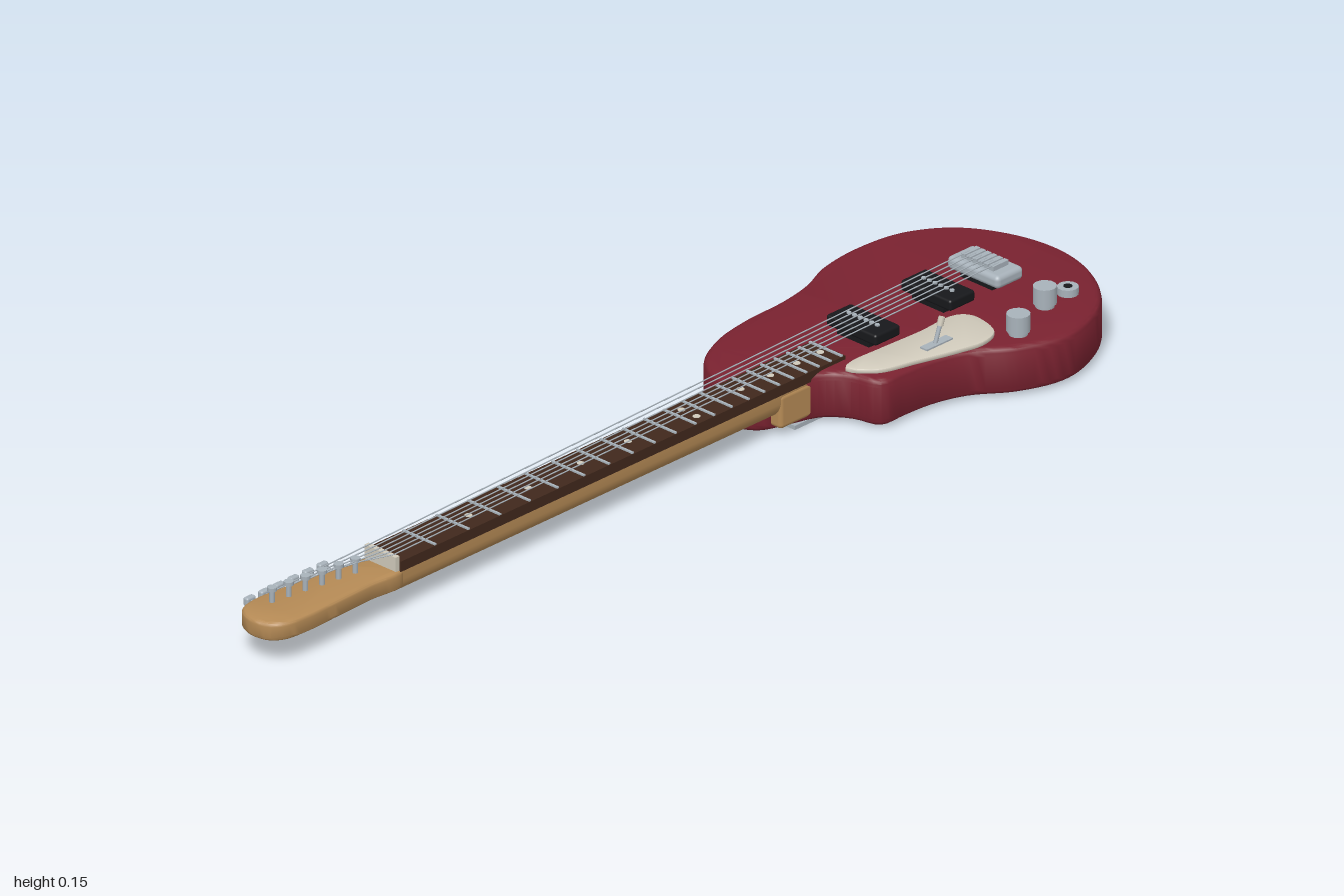
import * as THREE from 'three';
import { toCreasedNormals } from 'three/addons/utils/BufferGeometryUtils.js';
import { RoundedBoxGeometry } from 'three/addons/geometries/RoundedBoxGeometry.js';

const mat = (name, color) => Object.assign(new THREE.MeshStandardMaterial({ color }), { name });
const red = mat('red paint', 0x7a2230);
const maple = mat('maple', 0xb58a55);
const rosewood = mat('rosewood', 0x40281c);
const steel = mat('steel', 0xa8b2ba);
const black = mat('black plastic', 0x17181b);
const cream = mat('cream plastic', 0xd0cabb);

export function createModel() {
  const model = new THREE.Group();
  model.name = 'electricGuitar';

  const add = (name, geometry, material, x = 0, y = 0, z = 0) => {
    const mesh = new THREE.Mesh(geometry, material);
    mesh.name = name;
    mesh.position.set(x, y, z);
    model.add(mesh);
    return mesh;
  };
  // Box given by its limits on each axis
  const box = (name, material, x0, x1, y0, y1, z0, z1, r = 0) => {
    const size = [x1 - x0, y1 - y0, z1 - z0];
    const g = r ? new RoundedBoxGeometry(...size, 3, r) : new THREE.BoxGeometry(...size);
    return add(name, g, material, (x0 + x1) / 2, (y0 + y1) / 2, (z0 + z1) / 2);
  };
  // Upright cylinder standing on y0
  const post = (name, material, x, z, y0, y1, r, sides = 12) =>
    add(name, new THREE.CylinderGeometry(r, r, y1 - y0, sides), material, x, (y0 + y1) / 2, z);
  // Thin rod between two points
  const rod = (name, material, a, b, r, sides = 6) => {
    const from = new THREE.Vector3(...a), to = new THREE.Vector3(...b);
    const dir = to.clone().sub(from);
    const mesh = add(name, new THREE.CylinderGeometry(r, r, dir.length(), sides), material);
    mesh.position.copy(from).add(to).multiplyScalar(0.5);
    mesh.quaternion.setFromUnitVectors(new THREE.Vector3(0, 1, 0), dir.normalize());
    return mesh;
  };
  // Slab from a closed smooth outline of [x, z] points, with rounded edges
  const slab = (name, material, outline, y0, y1, bevel, divisions = 90) => {
    const curve = new THREE.CatmullRomCurve3(
      outline.map(([x, z]) => new THREE.Vector3(x, z, 0)), true, 'centripetal');
    const pts = curve.getSpacedPoints(divisions).slice(0, -1).map(p => new THREE.Vector2(p.x, p.y));
    const g = new THREE.ExtrudeGeometry(new THREE.Shape(pts), {
      depth: y1 - y0 - 2 * bevel, bevelEnabled: true, bevelThickness: bevel,
      bevelSize: bevel, bevelOffset: -bevel, bevelSegments: 4,
    });
    g.rotateX(Math.PI / 2).translate(0, y1 - bevel, 0);
    return add(name, toCreasedNormals(g, 0.6), material);
  };

  // Body with one cutaway
  slab('body', red, [
    [0.205, -0.05], [0.215, -0.1], [0.25, -0.145], [0.32, -0.18], [0.4, -0.195], [0.5, -0.2],
    [0.57, -0.213], [0.64, -0.24], [0.735, -0.251], [0.83, -0.237], [0.91, -0.185],
    [0.96, -0.1], [0.978, 0], [0.955, 0.1], [0.89, 0.19], [0.81, 0.237], [0.735, 0.25],
    [0.65, 0.222], [0.58, 0.173], [0.52, 0.153], [0.45, 0.147], [0.4, 0.146], [0.385, 0.13],
    [0.375, 0.09], [0.345, 0.05], [0.29, 0.03], [0.23, 0.005],
  ], 0.005, 0.095, 0.014, 140);
  box('neckPlate', steel, 0.29, 0.4, 0, 0.008, -0.035, 0.035);
  const strapPin = rod('strapPin', steel, [0.97, 0.05, 0], [1, 0.05, 0], 0.011, 8);
  strapPin.scale.set(1, 1, 1);

  // Neck: D-shaped section swept from nut to body, widening slightly
  const nutX = -0.69, endX = 0.41;
  const section = new THREE.Shape();
  section.moveTo(-0.038, 0.083);
  section.lineTo(-0.038, 0.065);
  section.bezierCurveTo(-0.036, 0.022, 0.036, 0.022, 0.038, 0.065);
  section.lineTo(0.038, 0.083);
  const neck = new THREE.ExtrudeGeometry(section, { depth: 1.03, bevelEnabled: false, curveSegments: 14 });
  neck.rotateY(Math.PI / 2).translate(nutX, 0, 0);
  add('neck', toCreasedNormals(neck, 0.6), maple);
  box('neckHeel', maple, 0.25, 0.4, 0.015, 0.08, -0.04, 0.04, 0.008);

  // Fingerboard, nut, frets and position dots
  box('fingerboard', rosewood, nutX, endX, 0.082, 0.102, -0.04, 0.04);
  box('nut', cream, nutX - 0.01, nutX, 0.08, 0.112, -0.037, 0.037);
  const fretX = n => nutX + 1.555 * (1 - 2 ** (-n / 12));
  for (let n = 1; n <= 21; n++) {
    const x = fretX(n);
    box('fret', steel, x - 0.0022, x + 0.0022, 0.1, 0.105, -0.039, 0.039);
  }
  for (const n of [3, 5, 7, 9, 12, 15, 17, 19, 21]) {
    const x = (fretX(n) + fretX(n - 1)) / 2;
    for (const z of n === 12 ? [-0.018, 0.018] : [0])
      post('positionDot', cream, x, z, 0.1, 0.103, 0.007);
  }

  // Headstock
  slab('headstock', maple, [
    [-0.68, -0.036], [-0.73, -0.044], [-0.8, -0.056], [-0.87, -0.065], [-0.94, -0.07],
    [-0.98, -0.06], [-1, -0.025], [-0.995, 0.015], [-0.97, 0.036], [-0.92, 0.042],
    [-0.85, 0.04], [-0.76, 0.037], [-0.68, 0.036],
  ], 0.049, 0.085, 0.008, 70);

  // Tuners in line along one edge, strings, saddles
  for (let i = 0; i < 6; i++) {
    const x = -0.93 + 0.036 * i;
    const edge = -0.069 + 0.0045 * i;
    const postZ = -0.036 + 0.005 * i;
    post('tunerPost', steel, x, postZ, 0.08, 0.112, 0.005, 8);
    post('tunerCap', steel, x, postZ, 0.107, 0.114, 0.009, 10);
    rod('tunerShaft', steel, [x, 0.068, edge + 0.01], [x, 0.068, -0.088], 0.004, 8);
    box('tunerButton', steel, x - 0.011, x + 0.011, 0.06, 0.077, -0.096, -0.084, 0.004);

    const z = -0.034 + 0.0136 * i;
    const nutZ = z * 0.85;
    rod('string', steel, [nutX - 0.005, 0.114, nutZ], [0.795, 0.14, z], 0.0012);
    rod('stringEnd', steel, [x, 0.104, postZ], [nutX - 0.005, 0.114, nutZ], 0.0012);
    box('saddle', steel, 0.777, 0.815, 0.128, 0.14, z - 0.005, z + 0.005);
  }

  // Bridge
  box('bridgeBase', black, 0.775, 0.82, 0.09, 0.11, -0.038, 0.038);
  box('bridge', steel, 0.764, 0.83, 0.106, 0.131, -0.062, 0.062, 0.009);

  // Pickups with pole pieces
  for (const x of [0.495, 0.68]) {
    box('pickupBase', black, x - 0.025, x + 0.025, 0.09, 0.11, -0.038, 0.038);
    box('pickup', black, x - 0.031, x + 0.031, 0.106, 0.127, -0.06, 0.06, 0.005);
    for (let i = 0; i < 6; i++)
      post('polePiece', steel, x, -0.034 + 0.0136 * i, 0.12, 0.13, 0.0045, 8);
  }

  // Pickguard with selector switch
  slab('pickguard', cream, [
    [0.377, 0.072], [0.4, 0.062], [0.47, 0.063], [0.565, 0.067], [0.65, 0.066], [0.672, 0.085],
    [0.672, 0.12], [0.655, 0.16], [0.615, 0.174], [0.565, 0.165], [0.485, 0.142], [0.41, 0.118],
  ], 0.094, 0.103, 0.002, 60);
  box('switchPlate', steel, 0.518, 0.582, 0.1, 0.106, 0.114, 0.131);
  rod('switchLever', steel, [0.547, 0.103, 0.122], [0.56, 0.138, 0.122], 0.004, 8);
  rod('switchTip', cream, [0.559, 0.135, 0.122], [0.564, 0.15, 0.122], 0.006, 8);

  // Control knobs and output jack
  for (const [x, z] of [[0.687, 0.186], [0.795, 0.145]]) {
    post('knobSkirt', steel, x, z, 0.094, 0.104, 0.017, 14);
    post('knob', steel, x, z, 0.102, 0.135, 0.021, 14);
  }
  post('outputJack', steel, 0.858, 0.139, 0.094, 0.109, 0.019, 14);
  post('jackSocket', black, 0.858, 0.139, 0.108, 0.11, 0.008, 12);

  return model;
}
